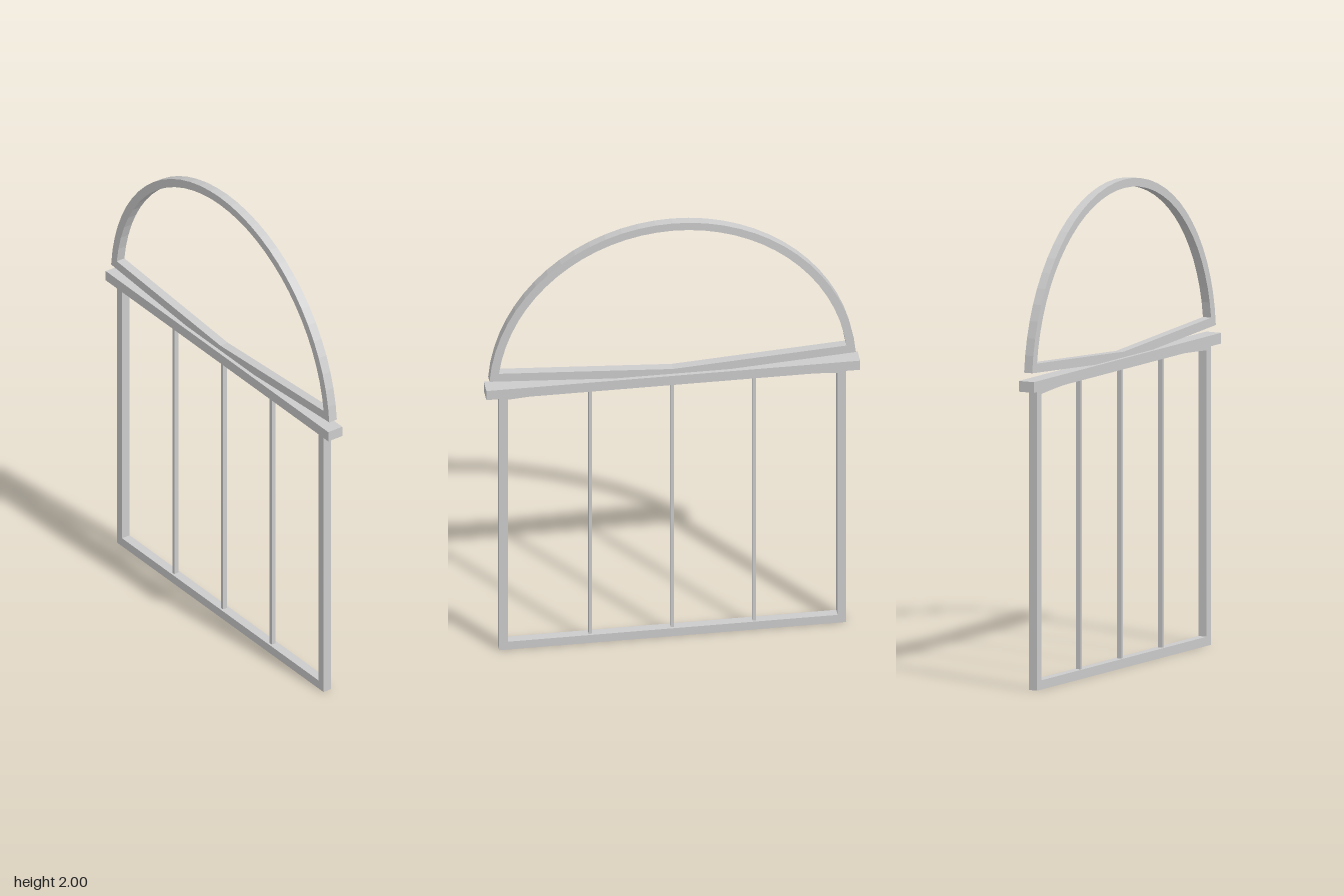
import * as THREE from 'three';

const material = new THREE.MeshStandardMaterial({ color: 0xcccccc, flatShading: true });
const FRAME_DEPTH = 0.038;

function box(name, w, h, d, x, y) {
  const mesh = new THREE.Mesh(new THREE.BoxGeometry(w, h, d), material);
  mesh.name = name;
  mesh.position.set(x, y, 0);
  return mesh;
}

// Flat frame: an outline with one opening, extruded and centred on z = 0
function frame(name, outer, inner) {
  const shape = new THREE.Shape(outer);
  shape.holes.push(new THREE.Path(inner));
  const geometry = new THREE.ExtrudeGeometry(shape, { depth: FRAME_DEPTH, bevelEnabled: false });
  geometry.translate(0, 0, -FRAME_DEPTH / 2);
  const mesh = new THREE.Mesh(geometry, material);
  mesh.name = name;
  return mesh;
}

// Round arch closed by a shallow V along the bottom
function archOutline(radius, endY, middleY, centreY = 1.248, segments = 32) {
  const start = Math.asin((endY - centreY) / radius);
  const points = [];
  for (let i = 0; i <= segments; i++) {
    const a = start + (Math.PI - 2 * start) * i / segments;
    points.push(new THREE.Vector2(radius * Math.cos(a), centreY + radius * Math.sin(a)));
  }
  points.push(new THREE.Vector2(0, middleY));
  return points;
}

// Rectangle whose top edge bows gently upward
function sashOutline(halfWidth, bottom, cornerY, middleY, segments = 12) {
  const points = [new THREE.Vector2(-halfWidth, bottom), new THREE.Vector2(halfWidth, bottom)];
  for (let i = 0; i <= segments; i++) {
    const t = 1 - 2 * i / segments;
    points.push(new THREE.Vector2(halfWidth * t, middleY - (middleY - cornerY) * t * t));
  }
  return points;
}

export function createModel() {
  const model = new THREE.Group();
  model.name = 'archedWindow';

  // Upper fanlight
  model.add(frame('archFrame', archOutline(0.752, 1.305, 1.257), archOutline(0.717, 1.34, 1.295)));

  // Crossbar between the two frames
  model.add(box('transom', 1.53, 0.044, 0.07, 0, 1.25));

  // Lower sash, its top rail mostly inside the crossbar
  model.add(frame('lowerFrame', sashOutline(0.71, 0, 1.245, 1.27), sashOutline(0.675, 0.038, 1.211, 1.237)));

  // Glazing bars
  for (const x of [-0.335, 0, 0.335]) {
    model.add(box('mullion', 0.014, 1.21, 0.02, x, 0.635));
  }
  return model;
}
